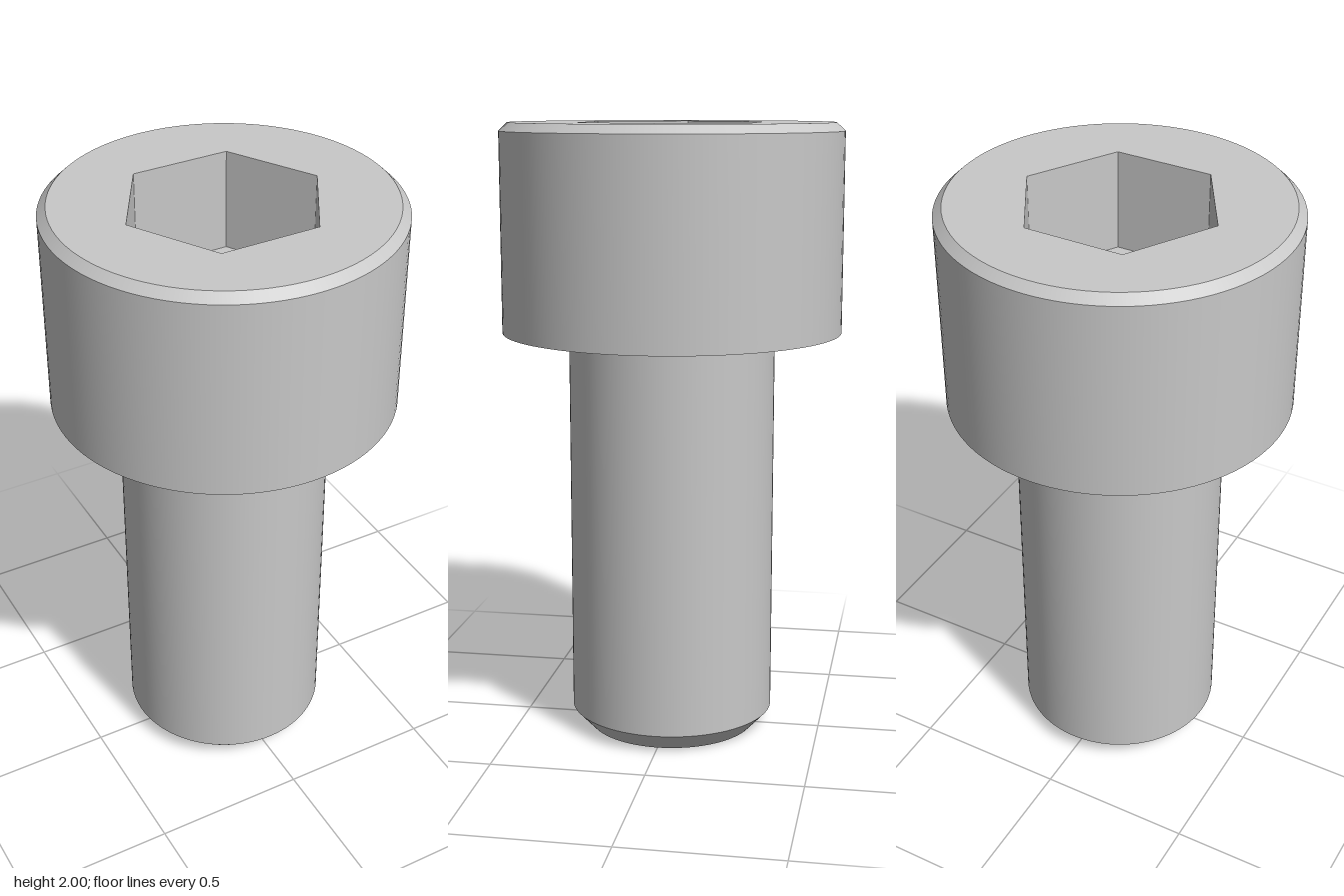
import * as THREE from 'three';

export function createModel() {
  const model = new THREE.Group();
  const steel = new THREE.MeshStandardMaterial({ color: 0xc8c8c8 });
  steel.name = 'steel grey';

  const SEGMENTS = 96;
  const TOP = 2, HEAD_BASE = 1.333, SOCKET_FLOOR = 1.667;
  const HEAD_R = 0.55, RIM_R = 0.522, SHANK_R = 0.335, TIP_R = 0.277, HEX_R = 0.319;

  const add = (name, geometry) => {
    const mesh = new THREE.Mesh(geometry, steel);
    mesh.name = name;
    model.add(mesh);
    return mesh;
  };

  // One straight band of revolution; separate bands keep the edges sharp
  const band = (name, r0, y0, r1, y1) =>
    add(name, new THREE.LatheGeometry(
      [new THREE.Vector2(r0, y0), new THREE.Vector2(r1, y1)], SEGMENTS));

  // Shank with chamfered tip
  band('tipFace', 0, 0, TIP_R, 0);
  band('tipChamfer', TIP_R, 0, SHANK_R, 0.062);
  band('shank', SHANK_R, 0.062, SHANK_R, HEAD_BASE);

  // Cylindrical head
  band('headUnderside', SHANK_R, HEAD_BASE, HEAD_R, HEAD_BASE);
  band('headSide', HEAD_R, HEAD_BASE, HEAD_R, TOP - 0.027);
  band('headChamfer', HEAD_R, TOP - 0.027, RIM_R, TOP);

  // Flat top of the head with a hexagonal opening
  const hex = Array.from({ length: 6 }, (_, i) => new THREE.Vector2(
    HEX_R * Math.cos(i * Math.PI / 3), HEX_R * Math.sin(i * Math.PI / 3)));
  const topShape = new THREE.Shape().absarc(0, 0, RIM_R, 0, Math.PI * 2);
  topShape.holes.push(new THREE.Path(hex));
  const top = add('headTop', new THREE.ShapeGeometry(topShape, SEGMENTS / 2));
  top.rotation.x = -Math.PI / 2;
  top.position.y = TOP;

  // Hex socket: walls facing inward, then the floor
  const socket = new THREE.LatheGeometry([
    new THREE.Vector2(HEX_R, TOP),
    new THREE.Vector2(HEX_R, SOCKET_FLOOR),
    new THREE.Vector2(0, SOCKET_FLOOR),
  ], 6, Math.PI / 6).toNonIndexed();
  socket.computeVertexNormals();
  add('hexSocket', socket);

  return model;
}
